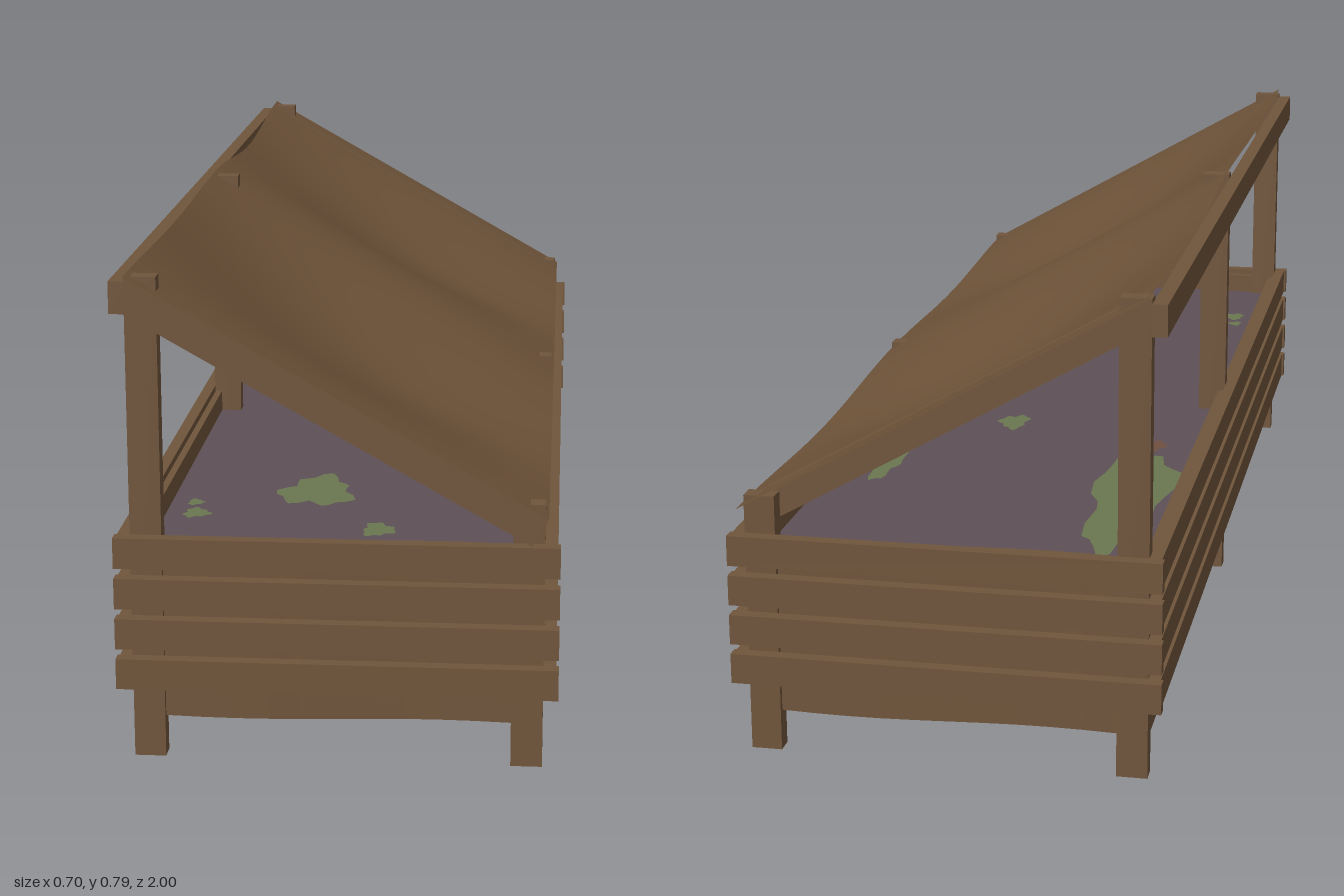
import * as THREE from 'three';

const mat = (name, color, double) => {
  const m = new THREE.MeshStandardMaterial({ color });
  m.name = name;
  if (double) m.side = THREE.DoubleSide;
  return m;
};

export function createModel() {
  const group = new THREE.Group();
  const wood = mat('wood', 0x70553b);
  const cloth = mat('cloth', 0x6d5238, true);
  const soil = mat('soil', 0x5e5157);
  const green = mat('moss', 0x6a764f);
  const rust = mat('dead leaves', 0x705040);

  const add = (name, geo, m, x = 0, y = 0, z = 0) => {
    const mesh = new THREE.Mesh(geo, m);
    mesh.name = name;
    mesh.position.set(x, y, z);
    group.add(mesh);
    return mesh;
  };
  // Box given by its minimum and maximum along each axis
  const box = (name, x0, x1, y0, y1, z0, z1) =>
    add(name, new THREE.BoxGeometry(x1 - x0, y1 - y0, z1 - z0), wood,
      (x0 + x1) / 2, (y0 + y1) / 2, (z0 + z1) / 2);

  // Posts: tall row on -x, short row on +x
  for (const [zTall, zShort] of [[0.96, 0.96], [0.017, -0.017], [-0.96, -0.96]]) {
    box('tallPost', -0.325, -0.275, 0, 0.782, zTall - 0.015, zTall + 0.015);
    box('shortPost', 0.275, 0.325, 0, 0.433, zShort - 0.015, zShort + 0.015);
  }

  // Four courses of slats around the box
  for (let i = 0; i < 4; i++) {
    const y = 0.12 + i * 0.0667;
    for (const s of [-1, 1]) {
      add('endSlat', new THREE.BoxGeometry(0.698, 0.05, 0.022), wood, 0, y + 0.025, s * 0.986);
      add('sideSlat', new THREE.BoxGeometry(0.02, 0.05, 1.95), wood, s * 0.335, y + 0.025, 0);
    }
  }

  // Inner bin with slightly wavy ends
  const outline = (hx, hz) => {
    const pts = [];
    for (const s of [1, -1]) {
      for (let i = 0; i <= 12; i++) {
        const t = i / 12;
        pts.push(new THREE.Vector2(s * hx * (2 * t - 1), -s * (hz + 0.009 * Math.sin(t * Math.PI * 2))));
      }
    }
    return pts;
  };
  const flat = (geo) => geo.rotateX(-Math.PI / 2);
  const wall = new THREE.Shape(outline(0.324, 0.962));
  wall.holes.push(new THREE.Path(outline(0.312, 0.95).reverse()));
  add('binWall', flat(new THREE.ExtrudeGeometry(wall, { depth: 0.293, bevelEnabled: false })), wood, 0, 0.067, 0);
  const floor = new THREE.Shape(outline(0.324, 0.962));
  add('binFloor', flat(new THREE.ExtrudeGeometry(floor, { depth: 0.012, bevelEnabled: false })), wood, 0, 0.066, 0);
  const bed = new THREE.Shape(outline(0.314, 0.952));
  add('soilBed', flat(new THREE.ShapeGeometry(bed)), soil, 0, 0.322, 0);

  // Ragged flat patches on the soil: x, z, half width, half length
  const patch = (name, m, x, z, rx, rz, lift = 0) => {
    const pts = [];
    for (let i = 0; i < 28; i++) {
      const a = (i / 28) * Math.PI * 2;
      const r = 0.85 + 0.15 * Math.sin(a * 3 + x * 40) + 0.12 * Math.sin(a * 7 + z * 30);
      pts.push(new THREE.Vector2(Math.cos(a) * rx * r, Math.sin(a) * rz * r));
    }
    add(name, flat(new THREE.ShapeGeometry(new THREE.Shape(pts))), m, x, 0.325 + lift, z);
  };
  for (const [x, z, rx, rz] of [
    [-0.225, -0.55, 0.075, 0.3], [-0.12, -0.88, 0.025, 0.03], [-0.07, 0.57, 0.07, 0.1],
    [0.055, -0.16, 0.03, 0.05], [-0.15, 0, 0.025, 0.03], [-0.26, 0.71, 0.025, 0.03],
    [0.23, -0.45, 0.03, 0.1], [0.05, 0.78, 0.03, 0.04], [-0.27, 0.65, 0.015, 0.02],
  ]) patch('mossPatch', green, x, z, rx, rz);
  patch('leafPatch', rust, -0.22, -0.27, 0.03, 0.05, 0.002);

  // Sloping rafters and the rail along the tall side
  for (const z of [0.986, 0.012, -0.932]) {
    const r = add('rafter', new THREE.BoxGeometry(0.74, 0.05, 0.024), wood, -0.005, 0.577, z);
    r.rotation.z = -Math.atan(0.566);
  }
  box('topRail', -0.349, -0.325, 0.723, 0.774, -0.975, 0.975);

  // Cloth roof sagging in each of the two bays
  const nu = 16, nv = 48;
  const roof = new THREE.PlaneGeometry(1, 1, nu, nv);
  const p = roof.attributes.position;
  for (let i = 0; i < p.count; i++) {
    const u = p.getX(i) + 0.5, z = -p.getY(i) * 2;
    const x = -0.322 + 0.652 * u;
    const bay = Math.pow(Math.sin(Math.PI * z), 2);
    const edge = z < 0 ? 0.025 * (1 - u) + 0.015 * u : 0.008 + 0.004 * u;
    const sag = (edge + (0.074 - edge) * Math.sin(Math.PI * u)) * bay;
    p.setXYZ(i, x, 0.604 - 0.566 * x - sag, z);
  }
  roof.computeVertexNormals();
  add('clothRoof', roof, cloth);

  return group;
}
